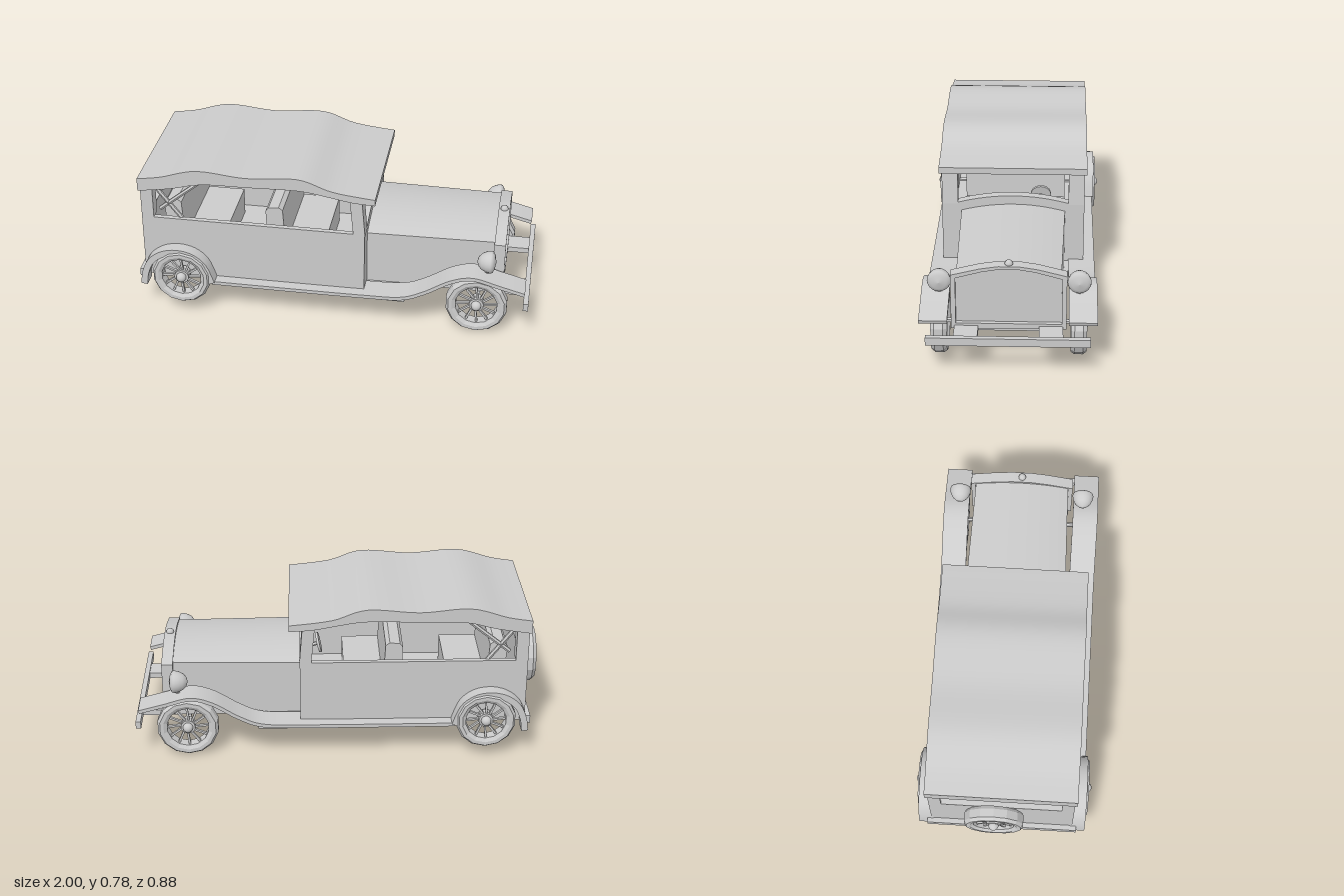
import * as THREE from 'three';
import { toCreasedNormals } from 'three/addons/utils/BufferGeometryUtils.js';

const grey = new THREE.MeshStandardMaterial({ color: 0xcccccc, side: THREE.DoubleSide });
const flat = new THREE.MeshStandardMaterial({ color: 0xcccccc, flatShading: true, side: THREE.DoubleSide });
const V = (p) => new THREE.Vector2(p[0], p[1]);

export function createModel() {
  const car = new THREE.Group();
  car.name = 'touringCar';

  const add = (name, geo, parent = car, mat = grey) => {
    const m = new THREE.Mesh(geo, mat);
    m.name = name;
    parent.add(m);
    return m;
  };
  // box given by its limits
  const box = (name, x0, x1, y0, y1, z0, z1) => {
    const m = add(name, new THREE.BoxGeometry(x1 - x0, y1 - y0, z1 - z0));
    m.position.set((x0 + x1) / 2, (y0 + y1) / 2, (z0 + z1) / 2);
    return m;
  };
  const extrude = (pts, depth, hole) => {
    const s = new THREE.Shape(pts.map(V));
    if (hole) s.holes.push(new THREE.Path(hole.map(V)));
    return new THREE.ExtrudeGeometry(s, { depth, bevelEnabled: false });
  };
  // side profile (x, y) swept from z0 to z1
  const alongZ = (name, pts, z0, z1) =>
    add(name, toCreasedNormals(extrude(pts, z1 - z0).translate(0, 0, z0), 0.5));
  // symmetric section (z, y) swept from x0 to x1
  const alongX = (name, pts, x0, x1, hole) =>
    add(name, toCreasedNormals(extrude(pts, x1 - x0, hole).rotateY(Math.PI / 2).translate(x0, 0, 0), 0.5));
  const spline = (pts, n) => new THREE.SplineCurve(pts.map(V)).getPoints(n).map((p) => [p.x, p.y]);
  // closed outline of a curve thickened downwards
  const band = (pts, t, n) => {
    const c = new THREE.SplineCurve(pts.map(V)), under = [], over = [];
    for (let i = 0; i <= n; i++) {
      const p = c.getPoint(i / n), d = c.getTangent(i / n);
      over.push([p.x, p.y]);
      under.unshift([p.x + d.y * t, p.y - d.x * t]);
    }
    return over.concat(under);
  };
  // arched section: half width w, bottom b, shoulder s, crown c
  const arch = (w, b, s, c) => {
    const pts = [[-w, b], [w, b]];
    for (let i = 0; i <= 16; i++) {
      const u = 1 - i / 8;
      pts.push([w * u, s + (c - s) * (1 - u * u)]);
    }
    return pts;
  };
  const rod = (name, a, b, r) => {
    const p = new THREE.Vector3(...a), q = new THREE.Vector3(...b);
    const m = add(name, new THREE.CylinderGeometry(r, r, p.distanceTo(q), 6), car, flat);
    m.position.copy(p).add(q).multiplyScalar(0.5);
    m.quaternion.setFromUnitVectors(new THREE.Vector3(0, 1, 0), q.sub(p).normalize());
  };

  // open passenger tub
  box('floor', -0.91, 0.19, 0.17, 0.2, -0.35, 0.35);
  box('rearPanel', -0.91, -0.88, 0.2, 0.5, -0.35, 0.35);
  alongX('cowl', [[-0.35, 0.17], [0.35, 0.17], [0.35, 0.5], ...arch(0.28, 0, 0.495, 0.535).slice(2), [-0.35, 0.5]], 0.15, 0.195);
  box('engineFloor', 0.19, 0.86, 0.165, 0.2, -0.24, 0.24);
  for (const s of [1, -1]) {
    const [a, b] = s > 0 ? [0.325, 0.35] : [-0.35, -0.325];
    box('bodySide', -0.91, 0.195, 0.17, 0.5, a, b);
    const [c, d] = s > 0 ? [0.29, 0.35] : [-0.35, -0.29];
    box('rearPillar', -0.91, -0.85, 0.5, 0.69, c, d);
    const [e, f] = s > 0 ? [0.272, 0.35] : [-0.35, -0.272];
    alongZ('windscreenPillar', [[0.14, 0.49], [0.197, 0.49], [0.18, 0.7], [0.12, 0.7]], e, f);
    // folding top struts
    rod('topStrut', [-0.82, 0.54, s * 0.325], [-0.61, 0.71, s * 0.325], 0.011);
    rod('topStrut', [-0.84, 0.66, s * 0.325], [-0.71, 0.49, s * 0.325], 0.011);
  }

  // wavy roof
  const roofTop = spline([[-0.92, 0.715], [-0.8, 0.735], [-0.62, 0.783], [-0.38, 0.766], [-0.13, 0.783], [0.04, 0.73], [0.245, 0.705]], 36);
  const roofUnder = spline([[0.245, 0.673], [0.13, 0.68], [0.0, 0.703], [-0.13, 0.72], [-0.38, 0.715], [-0.6, 0.71], [-0.75, 0.675], [-0.92, 0.648]], 28);
  alongZ('roof', [...roofTop, ...roofUnder], -0.36, 0.36);

  // seats and steering wheel
  const seat = (x, w) => {
    alongZ('seatBack', [[x - 0.07, 0.2], [x + 0.02, 0.2], [x, 0.54], [x - 0.02, 0.555], [x - 0.07, 0.55], [x - 0.085, 0.53]], -w, w);
    box('seatCushion', x, x + 0.2, 0.2, 0.34, -w, w);
  };
  seat(-0.225, 0.255);
  seat(-0.735, 0.255);
  const steer = add('steeringWheel', new THREE.CylinderGeometry(0.05, 0.05, 0.012, 20));
  steer.position.set(0.1, 0.503, -0.135);
  steer.rotation.z = 1.35;
  rod('steeringColumn', [0.1, 0.503, -0.135], [0.16, 0.48, -0.135], 0.01);

  // bonnet, narrowing towards the radiator
  const bonnet = alongX('bonnet', arch(0.255, 0.17, 0.455, 0.49), 0.19, 0.83);
  const bp = bonnet.geometry.attributes.position;
  for (let i = 0; i < bp.count; i++) bp.setZ(i, bp.getZ(i) * (1 - 0.06 * (bp.getX(i) - 0.19) / 0.64));

  // radiator shell with a recessed core
  const shell = (w, b, s, c) => [[-w, b], [w, b], [w, s], [w * 0.5, s + (c - s) * 0.72], [w * 0.18, c], [-w * 0.18, c], [-w * 0.5, s + (c - s) * 0.72], [-w, s]];
  alongX('radiatorShell', shell(0.265, 0.18, 0.455, 0.502), 0.815, 0.87, shell(0.243, 0.207, 0.44, 0.487));
  alongX('radiatorCore', shell(0.25, 0.2, 0.445, 0.492), 0.82, 0.85);
  add('radiatorCap', new THREE.SphereGeometry(0.019, 12, 8)).position.set(0.843, 0.505, 0);

  // frame horns and bumpers
  box('frontBumper', 0.975, 1.0, 0.163, 0.202, -0.375, 0.375);
  box('rearBumper', -0.935, -0.91, 0.163, 0.202, -0.37, 0.37);

  // wheel around z, outer face towards +z
  const makeWheel = (name, r) => {
    const g = new THREE.Group();
    g.name = name;
    const h = 0.037, profile = [[0.68, -0.7], [0.8, -1], [0.92, -1], [1, -0.55], [1, 0.55], [0.92, 1], [0.8, 1], [0.68, 0.7], [0.68, -0.7]];
    add('tyre', new THREE.LatheGeometry(profile.map((p) => V([p[0] * r, p[1] * h])), 14).rotateX(Math.PI / 2), g, flat);
    for (let i = 0; i < 12; i++) {
      const a = i * Math.PI / 6;
      const spoke = add('spoke', new THREE.BoxGeometry(r * 0.6, 0.01, 0.014), g);
      spoke.position.set(Math.cos(a) * r * 0.42, Math.sin(a) * r * 0.42, 0.008);
      spoke.rotation.z = a + 0.12;
    }
    add('hub', new THREE.CylinderGeometry(0.036, 0.036, 0.05, 14).rotateX(Math.PI / 2), g);
    add('hubCap', new THREE.SphereGeometry(0.025, 14, 10), g).position.z = 0.029;
    car.add(g);
    return g;
  };

  const wing = [[-0.56, 0.187], [-0.2, 0.187], [0.2, 0.189], [0.38, 0.197], [0.49, 0.24], [0.62, 0.318], [0.73, 0.345], [0.86, 0.312], [0.98, 0.28]];
  const rearArch = [[-0.92, 0.145], [-0.91, 0.215], [-0.875, 0.29], [-0.81, 0.34], [-0.73, 0.357], [-0.65, 0.34], [-0.585, 0.285], [-0.545, 0.185]];
  const lamp = [[0, 0], [0.022, 0.006], [0.04, 0.022], [0.051, 0.045], [0.055, 0.066], [0.052, 0.076], [0.035, 0.085], [0, 0.092]];
  for (const s of [1, -1]) {
    const span = (a, b) => (s > 0 ? [a, b] : [-b, -a]);
    // running board flowing into the front wing
    alongZ('frontWing', band(wing, 0.018, 60), ...span(0.275, 0.405));
    box('sill', -0.55, 0.4, 0.165, 0.18, ...span(0.24, 0.395));
    alongZ('rearWing', band(rearArch, 0.032, 28), ...span(0.34, 0.413));
    box('frameHorn', 0.8, 0.98, 0.168, 0.195, ...span(0.14, 0.25));
    const light = add('headlamp', new THREE.LatheGeometry(lamp.map(V), 20).rotateZ(-Math.PI / 2));
    light.position.set(0.74, 0.393, s * 0.322);
    rod('headlampStem', [0.79, 0.32, s * 0.322], [0.79, 0.36, s * 0.322], 0.012);

    const front = makeWheel('frontWheel', 0.152);
    front.position.set(0.748, 0.152, s * 0.323);
    const rear = makeWheel('rearWheel', 0.147);
    rear.position.set(-0.712, 0.202, s * 0.385);
    if (s < 0) front.rotation.y = rear.rotation.y = Math.PI;
  }
  rod('frontAxle', [0.748, 0.152, -0.32], [0.748, 0.152, 0.32], 0.012);
  rod('rearAxle', [-0.712, 0.202, -0.38], [-0.712, 0.202, 0.38], 0.012);

  // spare wheel on the back
  const spare = makeWheel('spareWheel', 0.147);
  spare.position.set(-0.946, 0.388, -0.035);
  spare.rotation.y = -Math.PI / 2;

  return car;
}
